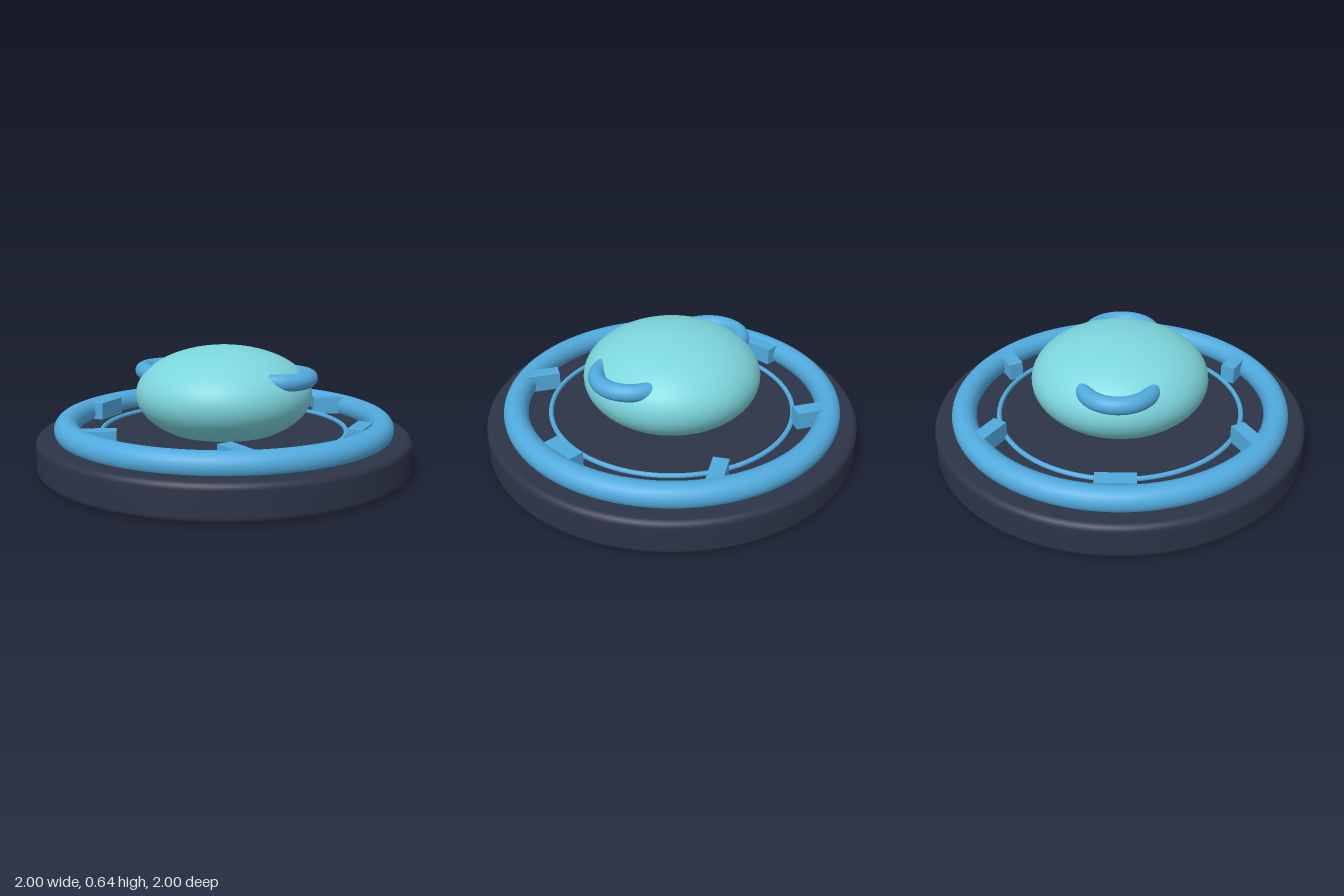
import * as THREE from 'three';

const paint = (name, color) => {
  const m = new THREE.MeshStandardMaterial({ color });
  m.name = name;
  return m;
};

export function createModel() {
  const group = new THREE.Group();
  const slate = paint('dark slate', 0x2d3448);
  const blue = paint('sky blue', 0x50aadd);
  const aqua = paint('aqua', 0x7cd5dc);

  const add = (name, geometry, material, x = 0, y = 0, z = 0) => {
    const mesh = new THREE.Mesh(geometry, material);
    mesh.name = name;
    mesh.position.set(x, y, z);
    group.add(mesh);
    return mesh;
  };

  // Round base with softened rims, turned from a profile
  const H = 0.19, B = 0.035;
  const profile = [new THREE.Vector2(0, 0)];
  const corner = (cy, from) => {
    for (let i = 0; i <= 6; i++) {
      const a = from + (i / 6) * Math.PI / 2;
      profile.push(new THREE.Vector2(1 - B + B * Math.cos(a), cy + B * Math.sin(a)));
    }
  };
  corner(B, -Math.PI / 2);
  corner(H - B, 0);
  profile.push(new THREE.Vector2(0, H));
  add('base', new THREE.LatheGeometry(profile, 96), slate);

  // Horizontal rings
  const ring = (radius, tube, sides, arc = Math.PI * 2) =>
    new THREE.TorusGeometry(radius, tube, sides, 96, arc).rotateX(-Math.PI / 2);
  add('outerRing', ring(0.84, 0.065, 24), blue, 0, 0.225, 0);
  add('innerRing', ring(0.657, 0.013, 12), blue, 0, 0.195, 0);

  // Six blocks spaced around the inside of the outer ring
  for (let i = 0; i < 6; i++) {
    const a = (i / 6) * Math.PI * 2;
    const block = add('block', new THREE.BoxGeometry(0.08, 0.105, 0.2), blue,
      0.76 * Math.cos(a), 0.2325, 0.76 * Math.sin(a));
    block.rotation.y = a;
  }

  // Flattened dome
  const dome = new THREE.SphereGeometry(0.472, 64, 40).scale(1, 0.255 / 0.472, 1);
  add('dome', dome, aqua, 0, 0.39, 0);

  // Curved side handles, their ends sunk into the dome
  const arc = Math.PI * 1.25;
  for (const [name, side] of [['leftHandle', 1], ['rightHandle', -1]]) {
    const handle = add(name, ring(0.174, 0.045, 20, arc).rotateY(-arc / 2), blue, side * 0.298, 0.495, 0);
    if (side < 0) handle.rotation.y = Math.PI;
  }

  return group;
}
